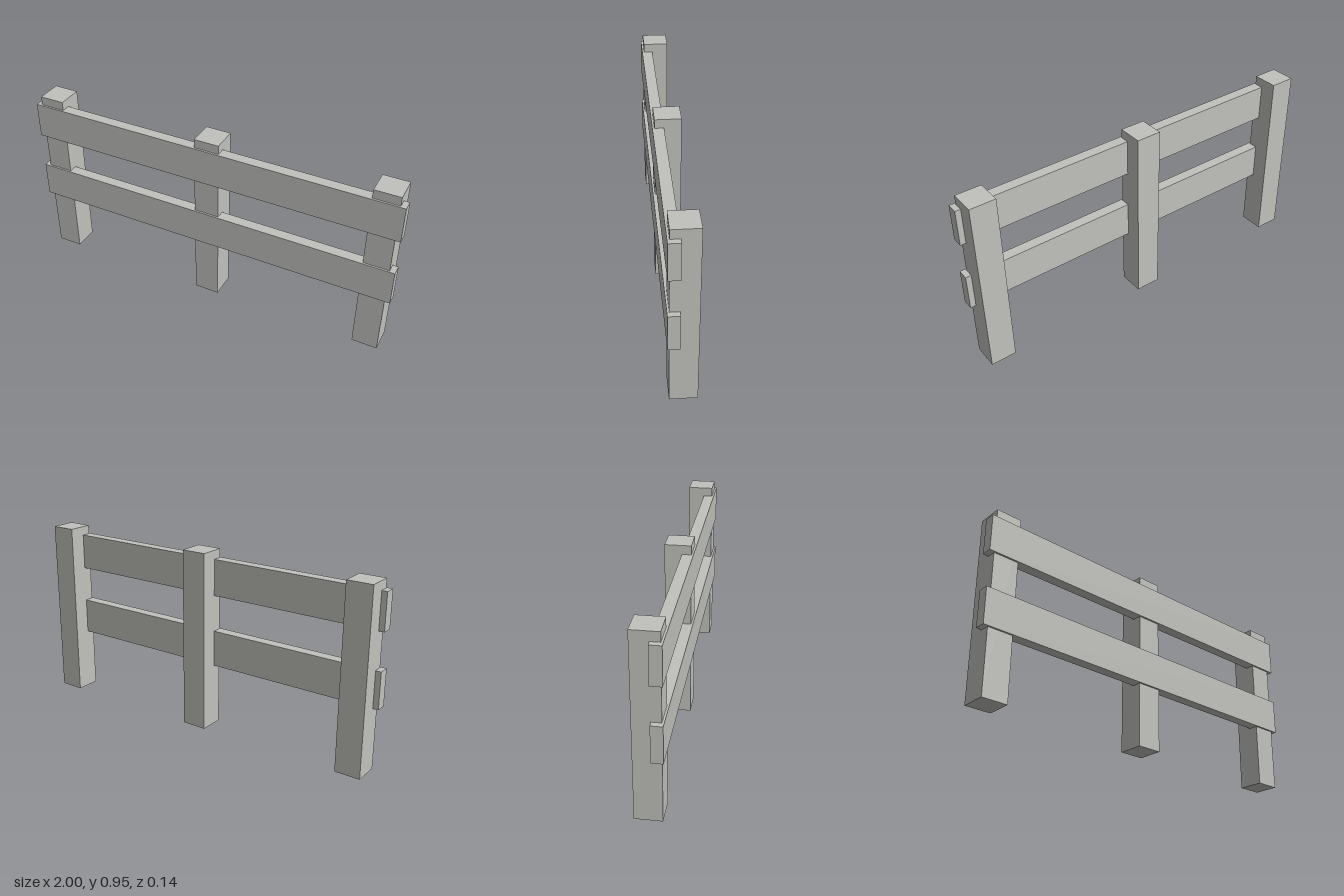
import * as THREE from 'three';

export function createModel() {
  const fence = new THREE.Group();
  fence.name = 'fence';

  const wood = new THREE.MeshStandardMaterial({ color: 0xc1c1bd });
  wood.name = 'weathered grey wood';

  const addBox = (name, size, position) => {
    const mesh = new THREE.Mesh(new THREE.BoxGeometry(...size), wood);
    mesh.name = name;
    mesh.position.set(...position);
    fence.add(mesh);
  };

  // Three square upright posts
  const postHeight = 0.952;
  const posts = { rightPost: -0.905, middlePost: 0, leftPost: 0.905 };
  for (const [name, x] of Object.entries(posts)) {
    addBox(name, [0.133, postHeight, 0.133], [x, postHeight / 2, -0.005]);
  }

  // Two long rails let into the front of the posts
  const rails = { lowerRail: 0.429, upperRail: 0.81 };
  for (const [name, y] of Object.entries(rails)) {
    addBox(name, [2, 0.19, 0.057], [0, y, 0.043]);
  }

  return fence;
}
